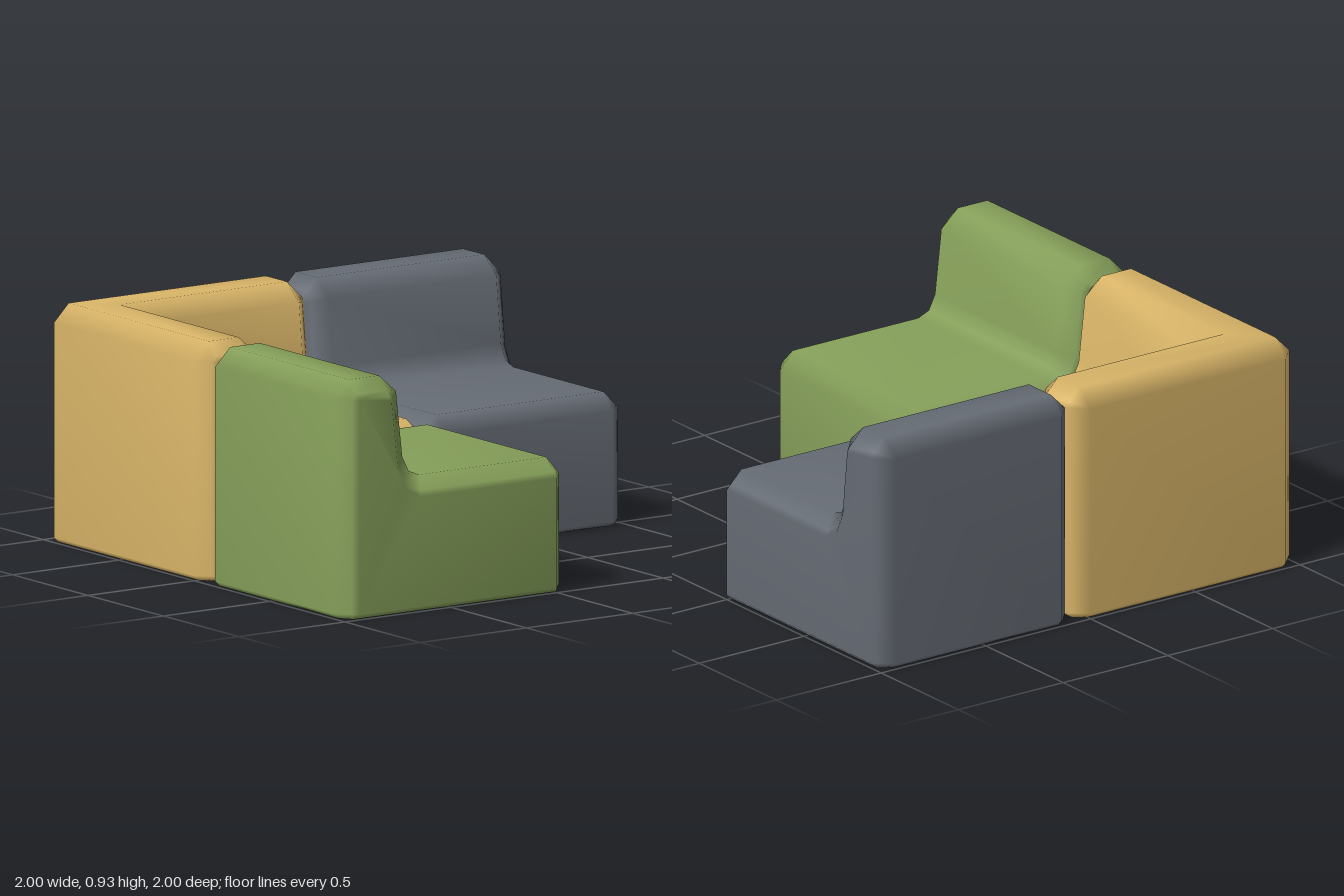
import * as THREE from 'three';
import { mergeVertices } from 'three/addons/utils/BufferGeometryUtils.js';

const EDGE = 0.07; // large chamfer
const LIP = 0.02; // small chamfer around the base
const END = 0.07; // open ends of the corner seat

// Side profile as [distance from the back, height], from the back base over the seat to the front base
const FULL = [[0.02, 0], [0, 0.02], [0, 0.86], [0.07, 0.93], [0.21, 0.93], [0.29, 0.86], [0.32, 0.6],
  [0.35, 0.54], [0.4, 0.52], [1, 0.52], [1.06, 0.45], [1.06, 0.02], [1.04, 0]];
// The same profile, drawn in at the chamfered ends
const INSET = [[0.07, 0.02], [0.07, 0.02], [0.07, 0.86], [0.07, 0.86], [0.21, 0.86], [0.22, 0.84], [0.25, 0.57],
  [0.29, 0.49], [0.36, 0.45], [1, 0.45], [1, 0.45], [1, 0.02], [1, 0.02]];
// Section a little way in from the end, where the base reaches the floor
const NEAR = FULL.map(([d, y], i) => {
  const t = LIP / EDGE;
  return [INSET[i][0] + (d - INSET[i][0]) * t, y === 0 ? 0 : INSET[i][1] + (y - INSET[i][1]) * t];
});

const V = (x, y, z) => new THREE.Vector3(x, y, z);
const section = (profile, x) => profile.map(([d, y]) => V(x, y, -1 + d));
const swapXZ = (p) => V(p.z, p.y, p.x);

// Collects triangles, then welds them for smooth shading
class Skin {
  constructor() { this.points = []; }

  tri(a, b, c) {
    const area = b.clone().sub(a).cross(c.clone().sub(a)).length();
    if (area > 1e-8) this.points.push(a, b, c);
  }

  // Skin between successive sections
  loft(sections, closed) {
    for (let i = 0; i < sections.length - 1; i++) {
      const s = sections[i], t = sections[i + 1], n = s.length;
      for (let j = 0; j < (closed ? n : n - 1); j++) {
        const k = (j + 1) % n;
        this.tri(s[j], s[k], t[k]);
        this.tri(s[j], t[k], t[j]);
      }
    }
  }

  // Flat polygon turned to face along the given direction
  face(pts, out) {
    const flat = pts.map((p) => (Math.abs(out.y) > Math.abs(out.x)
      ? new THREE.Vector2(p.x, p.z)
      : Math.abs(out.x) > 0 ? new THREE.Vector2(p.y, p.z) : new THREE.Vector2(p.x, p.y)));
    for (const [i, j, k] of THREE.ShapeUtils.triangulateShape(flat, [])) {
      const a = pts[i], b = pts[j], c = pts[k];
      const normal = b.clone().sub(a).cross(c.clone().sub(a));
      if (normal.dot(out) > 0) this.tri(a, b, c);
      else this.tri(a, c, b);
    }
  }

  build() {
    const geometry = mergeVertices(new THREE.BufferGeometry().setFromPoints(this.points), 1e-4);
    geometry.computeVertexNormals();
    return geometry;
  }
}

// Straight seat with a back, centred on x
function straightSeat(width) {
  const h = width / 2;
  const skin = new Skin();
  const sections = [
    section(INSET, -h), section(NEAR, -h + LIP), section(FULL, -h + EDGE),
    section(FULL, h - EDGE), section(NEAR, h - LIP), section(INSET, h),
  ];
  skin.loft(sections, true);
  skin.face(sections[0].slice(1, -1), V(-1, 0, 0));
  skin.face(sections[5].slice(1, -1), V(1, 0, 0));
  return skin.build();
}

// Corner seat with backs on two sides, mirrored about its diagonal
function cornerSeat() {
  const skin = new Skin();
  const half = (profile) => profile.slice(0, 10);
  const mitreOffset = [0.05, 0.07, 0.07, 0, 0, 0.07, 0.05, 0.04, 0, 0];
  const mitre = half(FULL).map(([d, y], i) => V(-1 + d + mitreOffset[i], y, -1 + d));
  const arm = [mitre, section(half(FULL), END - EDGE), section(half(NEAR), END - LIP), section(half(INSET), END)];
  const other = arm.map((s) => s.map(swapXZ));
  const sections = [...other.slice().reverse(), ...arm];
  skin.loft(sections, false);

  // Open ends and their base lips
  const q = V(END, LIP, 0), r = V(END - LIP, 0, 0);
  const cap = [...arm[3].slice(1), q];
  const strip = [arm[3][0], q, r, arm[2][0]];
  skin.face(cap, V(1, 0, 0));
  skin.face(strip, V(1, -1, 0));
  // The mirrored end is viewed along z, so its order is reversed explicitly
  const mirrored = new Skin();
  mirrored.face(cap, V(1, 0, 0));
  mirrored.face(strip, V(1, -1, 0));
  for (let i = 0; i < mirrored.points.length; i += 3) {
    const [a, b, c] = mirrored.points.slice(i, i + 3).map(swapXZ);
    skin.tri(a, c, b);
  }

  // Chamfered front corner
  const q2 = swapXZ(q), r2 = swapXZ(r);
  const p = arm[3][9], l = arm[2][9], p2 = swapXZ(p), l2 = swapXZ(l);
  skin.face([q, p, p2, q2], V(1, 0, 1));
  skin.face([p, l, l2, p2], V(1, 1, 1));
  skin.face([l, arm[1][9], l2], V(1, 1, 1));
  skin.face([q, q2, r2, r], V(1, -1, 1));

  // Underside
  skin.face([...sections.slice(1, 7).map((s) => s[0]), r, r2], V(0, -1, 0));
  return skin.build();
}

export function createModel() {
  const material = (name, color) => {
    const m = new THREE.MeshStandardMaterial({ color });
    m.name = name;
    return m;
  };
  const sofa = new THREE.Group();
  sofa.name = 'modularSofa';
  const add = (name, geometry, mat) => {
    const mesh = new THREE.Mesh(geometry, mat);
    mesh.name = name;
    sofa.add(mesh);
    return mesh;
  };

  const straight = straightSeat(0.93);
  add('cornerSeat', cornerSeat(), material('mustardFabric', 0xd9b568));
  add('leftSeat', straight, material('greyFabric', 0x666c75)).position.x = 0.535;
  const rightSeat = add('rightSeat', straight, material('greenFabric', 0x86a05a));
  rightSeat.rotation.y = Math.PI / 2;
  rightSeat.position.z = 0.535;
  return sofa;
}
